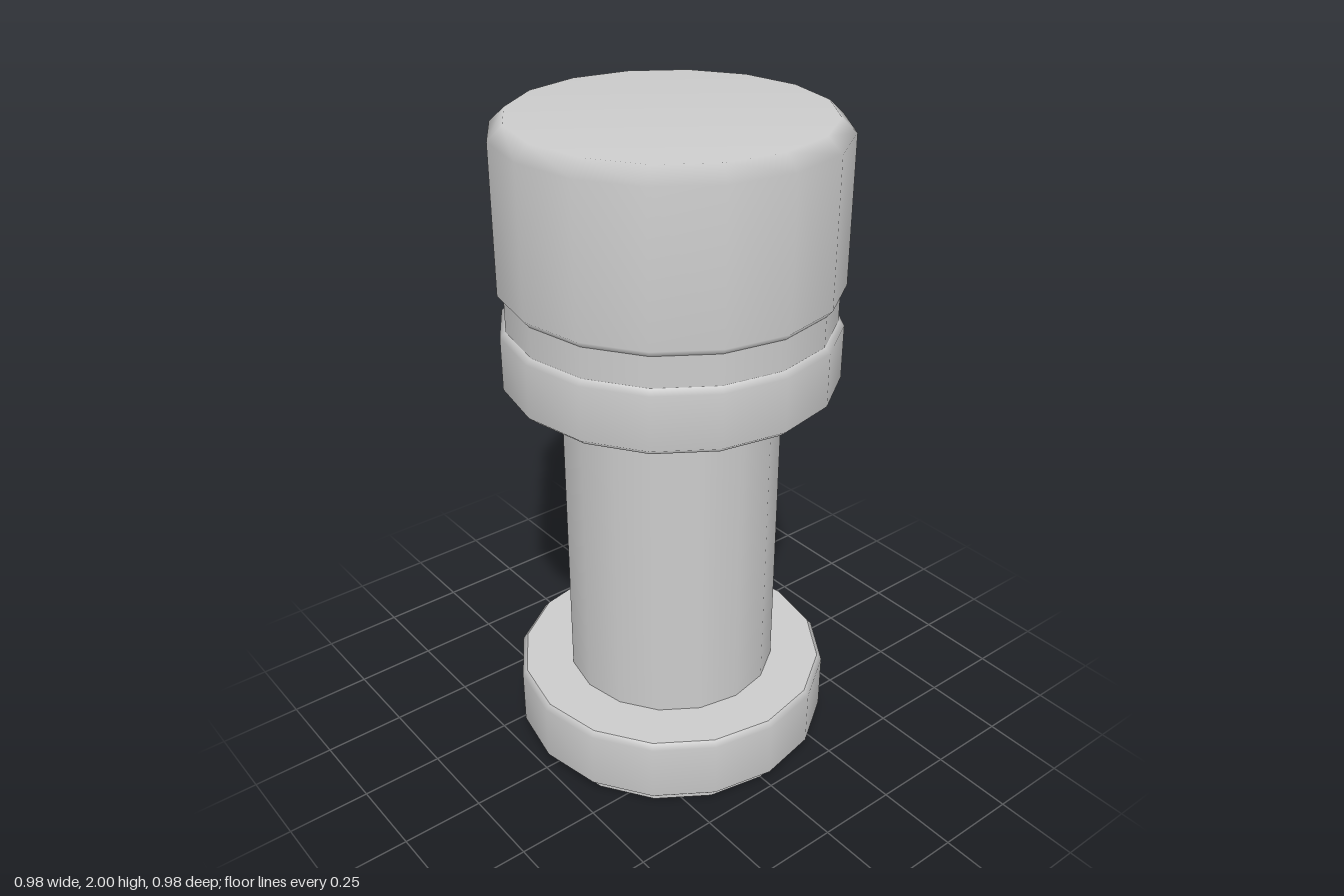
import * as THREE from 'three';

const SIDES = 16;

export function createModel() {
  const group = new THREE.Group();
  const material = new THREE.MeshStandardMaterial({ color: 0xcccccc });

  // Each strip is a [radius, height] profile, listed bottom to top / outside of the solid;
  // separate strips keep the edge between them sharp.
  function addTurned(name, ...strips) {
    const part = new THREE.Group();
    part.name = name;
    for (const strip of strips) {
      const points = strip.map(([r, y]) => new THREE.Vector2(r, y));
      const mesh = new THREE.Mesh(new THREE.LatheGeometry(points, SIDES), material);
      mesh.name = name + 'Surface';
      part.add(mesh);
    }
    group.add(part);
  }

  // Thin foot under the base
  addTurned('foot', [[0, 0], [0.45, 0]], [[0.45, 0], [0.45, 0.025]]);

  // Base disc with softened rims and a flat top
  addTurned('base',
    [[0.45, 0.025], [0.465, 0.025], [0.49, 0.05], [0.49, 0.228], [0.475, 0.245]],
    [[0.475, 0.245], [0.325, 0.245]]);

  // Plain shaft
  addTurned('shaft', [[0.325, 0.245], [0.325, 1.232]]);

  // Collar with a flat underside
  addTurned('collar',
    [[0.325, 1.232], [0.47, 1.232]],
    [[0.47, 1.232], [0.49, 1.25], [0.49, 1.41], [0.473, 1.425]]);

  // Recessed groove between collar and head
  addTurned('groove', [[0.473, 1.425], [0.473, 1.515]]);

  // Head, smooth-shaded over the chamfer into the flat top
  addTurned('head', [[0.473, 1.515], [0.49, 1.535], [0.49, 1.96], [0.447, 2], [0, 2]]);

  return group;
}
